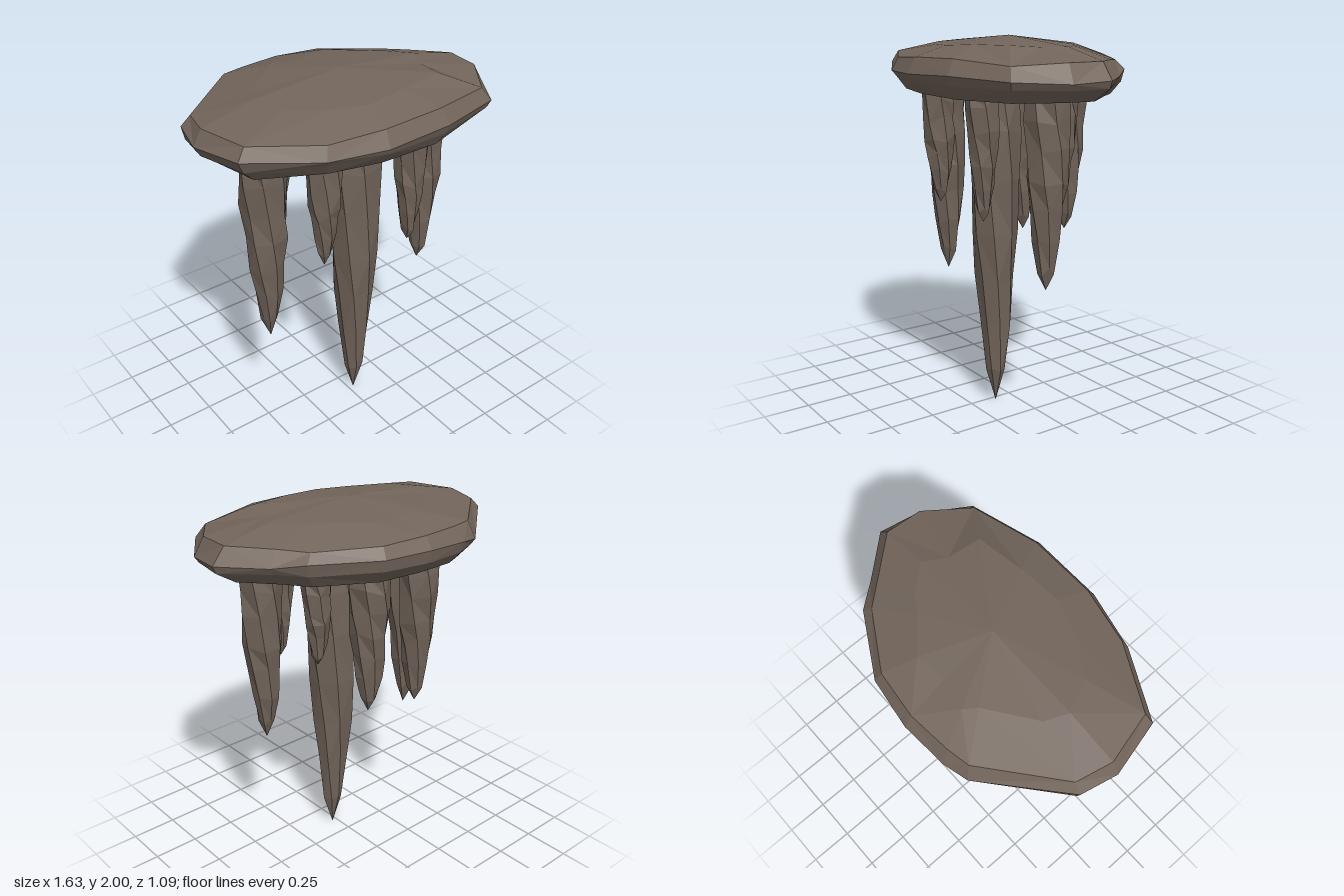
import * as THREE from 'three';

const rock = new THREE.MeshStandardMaterial({ color: 0x72655b });
rock.name = 'brown rock';

// Small seeded noise, from -1 to 1
let seed = 7;
function rnd() {
  seed = (seed * 16807) % 2147483647;
  return (seed / 2147483647) * 2 - 1;
}

// Faceted skin through equal-length rings, listed from bottom to top
function loft(name, rings) {
  const pos = [];
  const tri = (a, b, c) => {
    if (a.equals(b) || b.equals(c) || a.equals(c)) return;
    pos.push(...a.toArray(), ...b.toArray(), ...c.toArray());
  };
  for (let r = 0; r < rings.length - 1; r++) {
    const lo = rings[r], up = rings[r + 1], n = lo.length;
    for (let i = 0; i < n; i++) {
      const j = (i + 1) % n;
      if ((i + r) % 2) {
        tri(lo[i], up[i], lo[j]);
        tri(lo[j], up[i], up[j]);
      } else {
        tri(lo[i], up[j], lo[j]);
        tri(lo[i], up[i], up[j]);
      }
    }
  }
  const geo = new THREE.BufferGeometry();
  geo.setAttribute('position', new THREE.Float32BufferAttribute(pos, 3));
  geo.computeVertexNormals();
  const mesh = new THREE.Mesh(geo, rock);
  mesh.name = name;
  return mesh;
}

// Ceiling slab: irregular oval outline, flat underside, low domed top
function ceilingSlab() {
  const outline = [
    [-0.4, -0.495], [-0.28, -0.53], [-0.04, -0.548], [0.22, -0.51], [0.53, -0.33],
    [0.64, -0.2], [0.815, 0], [0.785, 0.2], [0.63, 0.43], [0.26, 0.53],
    [-0.11, 0.54], [-0.41, 0.47], [-0.75, 0.285], [-0.815, 0.01], [-0.775, -0.18],
  ];
  // [scale, height, scale noise, height noise]
  const levels = [
    [0, 1.71, 0, 0], [0.87, 1.715, 0.02, 0.005], [0.97, 1.78, 0.012, 0.01], [1, 1.825, 0, 0.02],
    [0.93, 1.893, 0.015, 0.012], [0.58, 1.957, 0.06, 0.008], [0, 2, 0, 0],
  ];
  return loft('ceilingSlab', levels.map(([s, y, ds, dy]) => outline.map(([x, z]) => {
    const k = s + rnd() * ds;
    return new THREE.Vector3(x * k, y + rnd() * dy, z * k);
  })));
}

// Stalactite: seven-sided spike, bulging above and narrowing quickly at the tip
const profile = [[0, 0], [0.11, 0.4], [0.27, 0.63], [0.42, 0.79], [0.56, 0.9], [0.72, 0.97], [0.87, 1], [1, 1]];
function stalactite(x, z, tipY, radius) {
  const sides = 7, top = 1.74, turn = rnd() * 3;
  const rings = profile.map(([h, s], r) => {
    const ring = [];
    for (let i = 0; i < sides; i++) {
      const a = turn + r * 0.18 + (i / sides) * Math.PI * 2;
      const k = radius * s * (1 + rnd() * 0.1);
      const y = tipY + (top - tipY) * h + (s && h < 1 ? rnd() * 0.025 : 0);
      ring.push(new THREE.Vector3(x + Math.cos(a) * k, y, z + Math.sin(a) * k));
    }
    return ring;
  });
  return loft('stalactite', rings);
}

export function createModel() {
  const group = new THREE.Group();
  group.name = 'stalactiteCluster';
  group.add(ceilingSlab());

  // x, z, tip height, radius
  const spikes = [
    [0.03, 0.11, 0, 0.135],
    [-0.505, 0.08, 0.64, 0.118],
    [0.48, 0.11, 0.76, 0.11],
    [-0.24, -0.27, 0.88, 0.11],
    [0.12, -0.29, 0.95, 0.105],
    [-0.28, 0.26, 1.1, 0.09],
    [0.22, 0.31, 1.09, 0.085],
    [0.31, -0.12, 1.21, 0.08],
  ];
  for (const s of spikes) group.add(stalactite(...s));
  return group;
}
